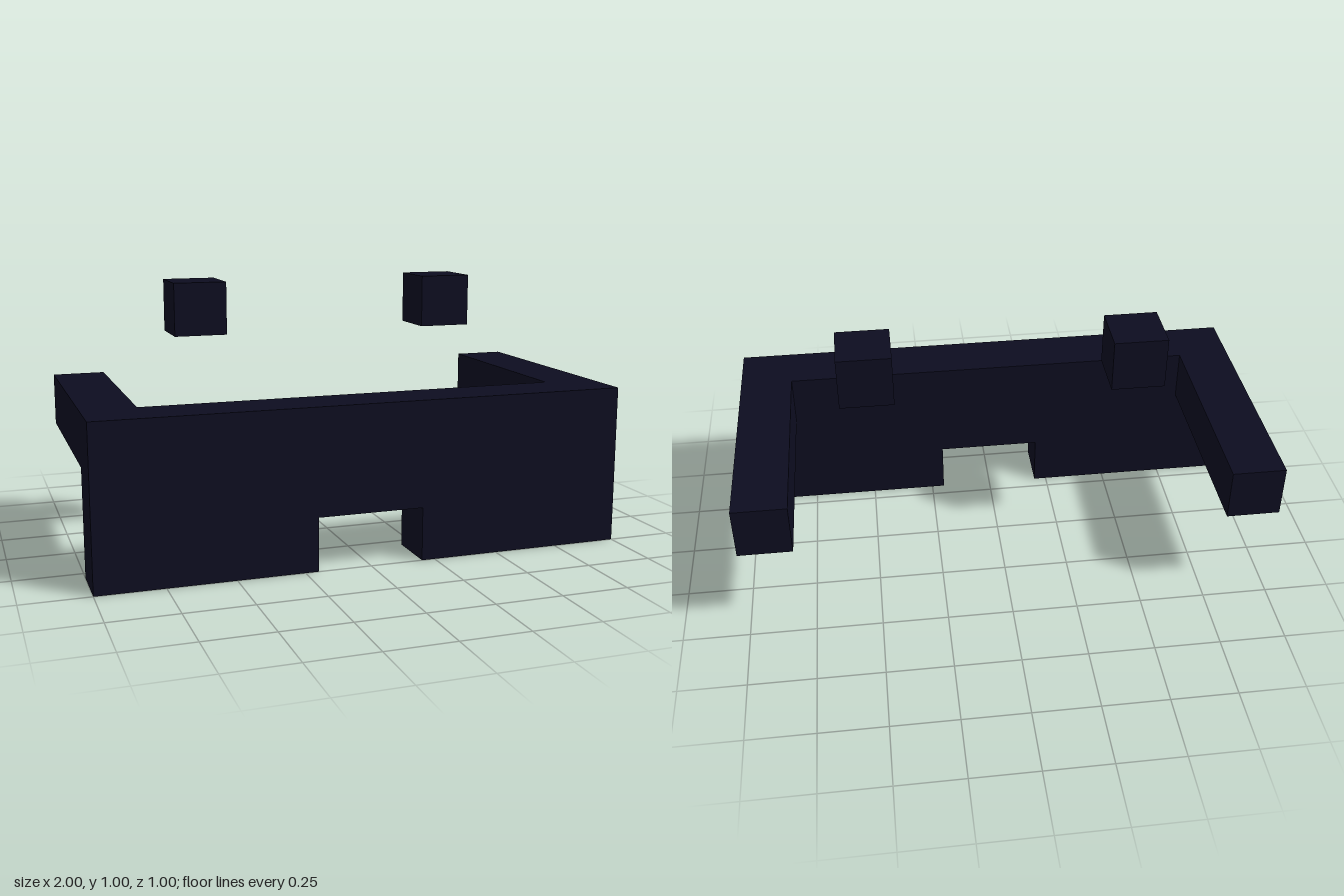
import * as THREE from 'three';

export function createModel() {
  const model = new THREE.Group();
  model.name = 'glasses';
  const darkNavy = new THREE.MeshStandardMaterial({ color: 0x0d0d20 });
  darkNavy.name = 'darkNavy';

  const add = (name, geometry, x, y, z) => {
    const mesh = new THREE.Mesh(geometry, darkNavy);
    mesh.name = name;
    mesh.position.set(x, y, z);
    model.add(mesh);
  };

  // Front frame: one slab with a square nose notch
  const outline = new THREE.Shape([
    [-1, 0], [-0.2, 0], [-0.2, 0.2], [0.2, 0.2],
    [0.2, 0], [1, 0], [1, 0.6], [-1, 0.6],
  ].map(([x, y]) => new THREE.Vector2(x, y)));
  add('frontFrame', new THREE.ExtrudeGeometry(outline, { depth: 0.2, bevelEnabled: false }), 0, 0, 0.3);

  // Mirrored temple arms and the floating cubes above them
  for (const [side, s] of [['left', 1], ['right', -1]]) {
    add(side + 'Arm', new THREE.BoxGeometry(0.2, 0.2, 0.8), 0.9 * s, 0.5, -0.1);
    add(side + 'Cube', new THREE.BoxGeometry(0.2, 0.2, 0.2), 0.5 * s, 0.9, -0.1);
  }
  return model;
}
